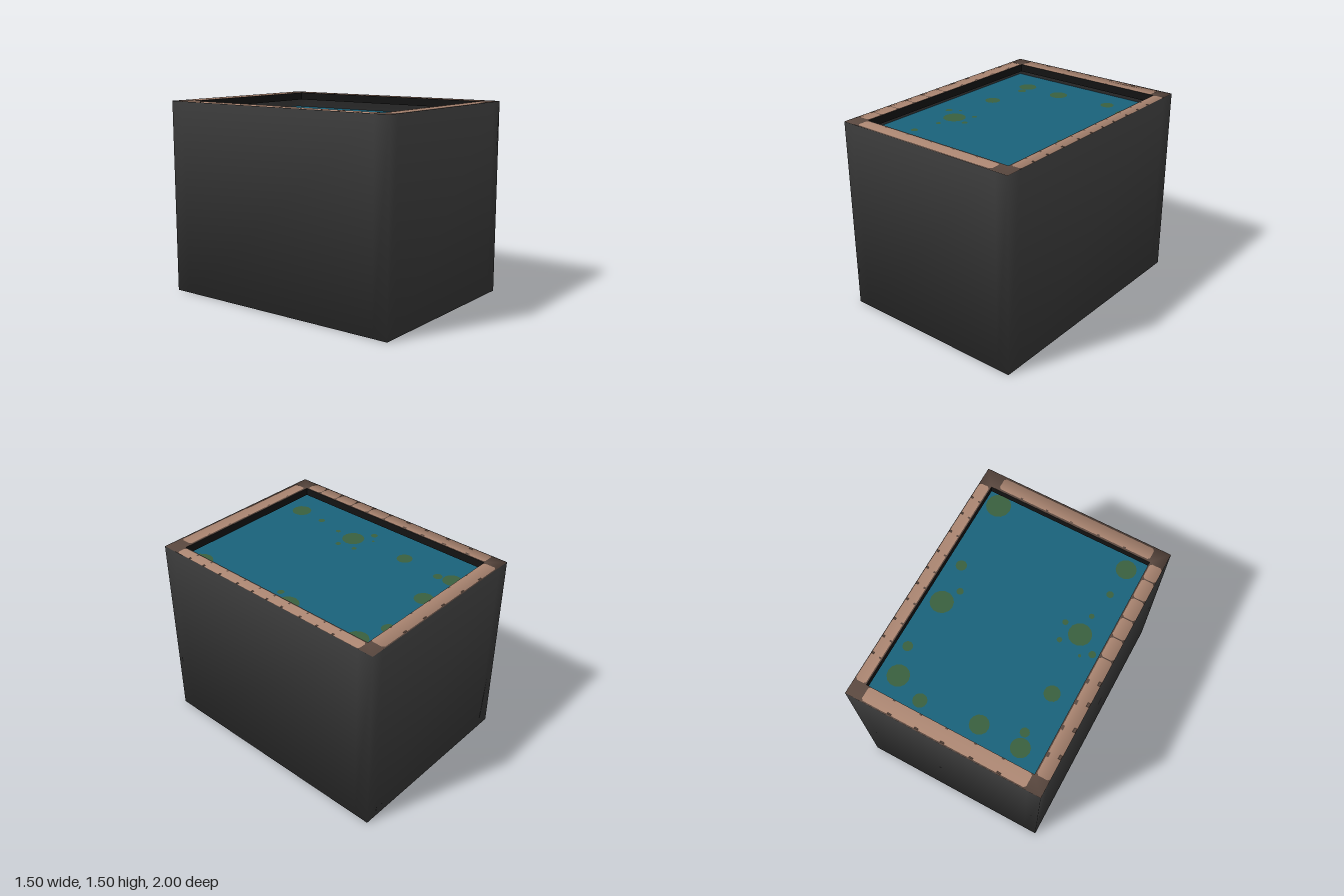
import * as THREE from 'three';

const W = 1.5, H = 1.5, D = 2, WATER_Y = 1.368, RIM_DEPTH = 0.06;
// Opening in the rim
const X0 = -0.64, X1 = 0.655, Z0 = -0.88, Z1 = 0.875;

const material = (name, color, side = THREE.FrontSide) => {
  const m = new THREE.MeshStandardMaterial({ color, side });
  m.name = name;
  return m;
};

// 0 at the inner edge of a corner strip, 1 or -1 at the outside
const outward = (v, from, to) => Math.sign(v) * THREE.MathUtils.clamp((Math.abs(v) - from) / (to - from), 0, 1);

// Rounds the normals over the outer edges; up is -1, 0 or 1
const softenNormals = (geometry, upAt) => {
  const p = geometry.attributes.position, n = geometry.attributes.normal, v = new THREE.Vector3();
  for (let i = 0; i < p.count; i++) {
    v.set(outward(p.getX(i), 0.65, W / 2), upAt(p.getY(i)), outward(p.getZ(i), 0.88, D / 2)).normalize();
    n.setXYZ(i, v.x, v.y, v.z);
  }
  return geometry;
};

export function createModel() {
  const model = new THREE.Group();
  const shell = material('charcoal', 0x363636, THREE.DoubleSide);
  const inner = material('innerBlack', 0x131313, THREE.DoubleSide);
  const darkBrown = material('darkBrown', 0x5a483f);
  const brown = material('brown', 0xa98470);
  const blue = material('waterBlue', 0x19617a);
  const green = material('algaeGreen', 0x395f3e);

  const add = (name, geometry, mat, parent = model) => {
    const mesh = new THREE.Mesh(geometry, mat);
    mesh.name = name;
    parent.add(mesh);
    return mesh;
  };
  const group = (name) => {
    const g = new THREE.Group();
    g.name = name;
    model.add(g);
    return g;
  };
  // Horizontal flat sheet from a shape drawn in x and -z
  const sheet = (shape, y) => new THREE.ShapeGeometry(shape, 5).rotateX(-Math.PI / 2).translate(0, y, 0);
  const rimSheet = (shape, y) => softenNormals(sheet(shape, y), () => 1);
  // Rectangle with cut corners, given in x and z
  const rect = (x0, z0, x1, z1, c = 0, Type = THREE.Shape) => new Type([
    [x0 + c, z0], [x0, z0 + c], [x0, z1 - c], [x0 + c, z1],
    [x1 - c, z1], [x1, z1 - c], [x1, z0 + c], [x1 - c, z0],
  ].filter((p, i) => c > 0 || i % 2 === 0).map(([x, z]) => new THREE.Vector2(x, -z)));

  // Outer shell: open-topped box with narrow edge strips and soft corners
  const box = new THREE.BoxGeometry(W, H, D, 3, 1, 3);
  const top = box.groups[2];
  const index = Array.from(box.index.array);
  index.splice(top.start, top.count);
  box.setIndex(index);
  box.clearGroups();
  const p = box.attributes.position;
  for (let i = 0; i < p.count; i++) {
    const x = p.getX(i), z = p.getZ(i);
    if (Math.abs(x) < 0.7) p.setX(i, Math.sign(x) * 0.65);
    if (Math.abs(z) < 0.9) p.setZ(i, Math.sign(z) * 0.88);
  }
  softenNormals(box, (y) => (y > 0 ? 0.6 : -1));
  add('shell', box.translate(0, H / 2, 0), shell);

  // Rim around the opening
  const rimShape = rect(-W / 2, -D / 2, W / 2, D / 2);
  rimShape.holes.push(rect(X0, Z0, X1, Z1, 0, THREE.Path));
  add('rim', rimSheet(rimShape, 1.498), darkBrown);

  // Inner edge of the rim, overhanging the water
  const walls = group('rimInnerEdge');
  const wall = (w, x, z, turn) => add('innerEdge',
    new THREE.PlaneGeometry(w, RIM_DEPTH).rotateY(turn).translate(x, 1.498 - RIM_DEPTH / 2, z), inner, walls);
  const cx = (X0 + X1) / 2, cz = (Z0 + Z1) / 2;
  wall(X1 - X0, cx, Z0, 0);
  wall(X1 - X0, cx, Z1, Math.PI);
  wall(Z1 - Z0, X0, cz, Math.PI / 2);
  wall(Z1 - Z0, X1, cz, -Math.PI / 2);

  // Light planks on the rim; the side at -x is split by cracks
  const planks = group('rimPlanks');
  const plank = (x0, z0, x1, z1) => add('plank', rimSheet(rect(x0, z0, x1, z1, 0.015), 1.499), brown, planks);
  plank(-0.63, -0.99, 0.63, -0.882);
  plank(-0.63, 0.89, 0.6, 0.985);
  plank(0.665, -0.88, 0.745, 0.865);
  const cracks = [-0.88, 0.065, 0.235, 0.4, 0.57, 0.735, 0.87];
  cracks.slice(1).forEach((z, i) => plank(-0.747, cracks[i] + 0.004, -0.65, z - 0.004));

  // Small dark notches along the plank edges
  const notches = group('notches');
  const notch = (x, z, w, d) => add('notch',
    new THREE.PlaneGeometry(w, d).rotateX(-Math.PI / 2).translate(x, H, z), darkBrown, notches);
  for (const z of [-0.7, -0.49, -0.29, -0.12]) {
    notch(-0.737, z, 0.02, 0.03);
    notch(-0.658, z - 0.02, 0.016, 0.035);
  }
  for (const z of [-0.67, -0.53, -0.38, -0.21, -0.07, 0.07, 0.22, 0.4, 0.57, 0.72]) {
    notch(0.673, z, 0.018, 0.014);
    notch(0.737, z + 0.01, 0.018, 0.014);
  }
  for (const x of [-0.43, -0.22, 0.0, 0.2, 0.41]) {
    notch(x, -0.984, 0.03, 0.01);
    notch(x + 0.02, -0.887, 0.02, 0.01);
    notch(x, 0.895, 0.02, 0.01);
  }

  // Water surface, reaching under the rim to the shell
  add('water', sheet(rect(-0.748, -0.998, 0.748, 0.998), WATER_Y), blue);

  // Algae patches: x, z, radius
  const algae = group('algae');
  const patches = [
    [-0.46, -0.74, 0.072], [-0.435, -0.63, 0.035], [-0.135, -0.73, 0.072], [0.31, -0.775, 0.053],
    [0.535, -0.69, 0.083], [0.59, -0.47, 0.038], [-0.47, -0.295, 0.06], [0.55, -0.06, 0.088],
    [0.475, 0.075, 0.026], [0.57, 0.26, 0.042], [-0.44, 0.19, 0.087], [-0.585, 0.095, 0.027],
    [-0.33, 0.085, 0.02], [-0.305, 0.225, 0.022], [-0.45, 0.355, 0.02], [-0.51, 0.045, 0.012],
    [-0.49, 0.57, 0.027], [-0.505, 0.805, 0.077], [0.57, 0.825, 0.095],
  ];
  for (const [x, z, r] of patches) {
    add('algaePatch', new THREE.CircleGeometry(r, 14).rotateX(-Math.PI / 2).translate(x, WATER_Y + 0.002, z), green, algae);
  }

  return model;
}
